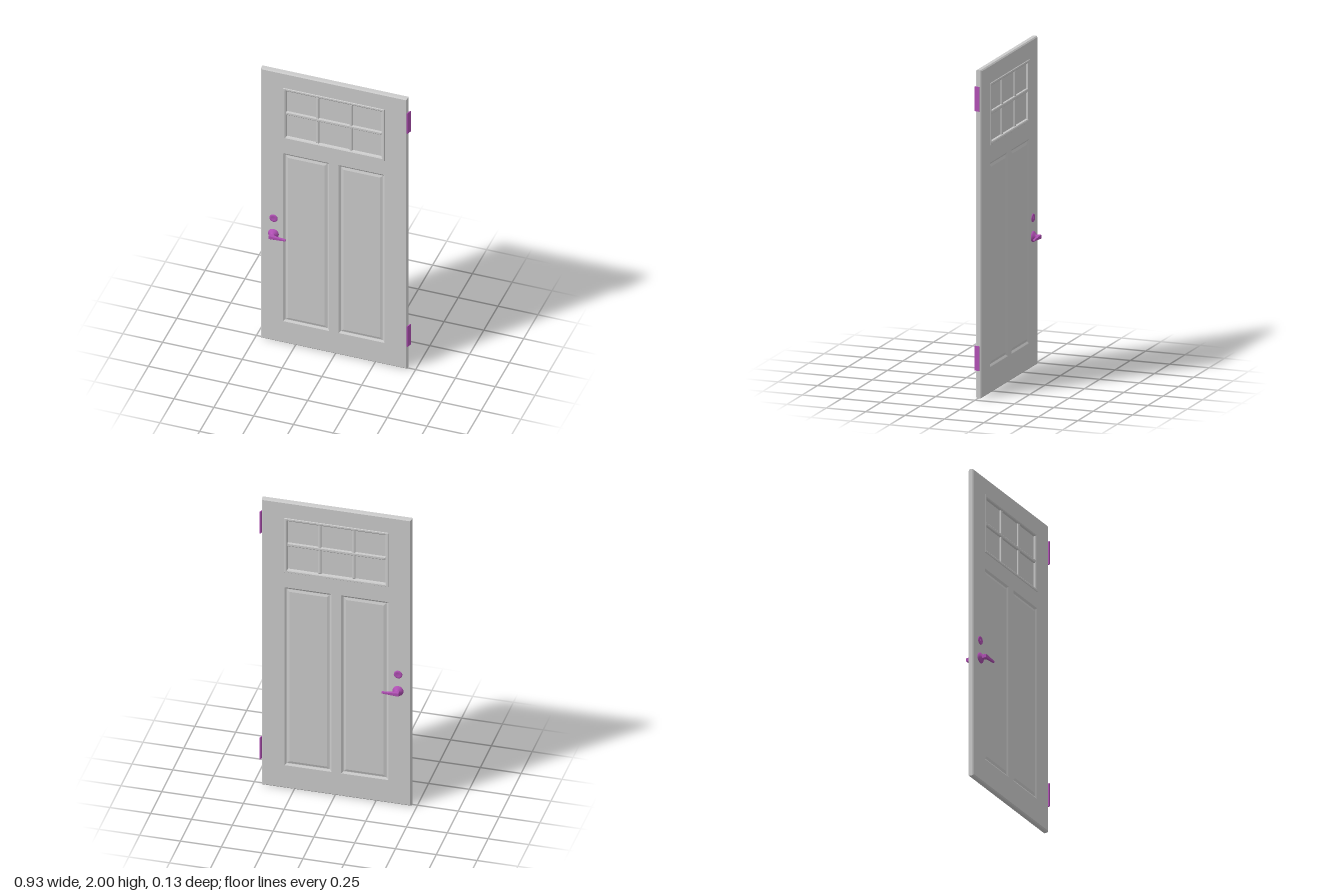
import * as THREE from 'three';

const H = 0.0185; // half thickness of the slab
const grey = new THREE.MeshStandardMaterial({ color: 0xcccccc });
const purple = new THREE.MeshStandardMaterial({ color: 0xb050b4 });

const WINDOW = { x0: -0.32, x1: 0.32, y0: 1.51, y1: 1.89 };
const PANELS = [
  { x0: -0.319, x1: -0.029, y0: 0.16, y1: 1.405 },
  { x0: 0.029, x1: 0.319, y0: 0.16, y1: 1.405 },
];
const SLAB = { x0: -0.459, x1: 0.459, y0: 0, y1: 2 };

function mesh(name, geometry, material) {
  const m = new THREE.Mesh(geometry, material);
  m.name = name;
  return m;
}

const corners = (r, inset) => [
  [r.x0 + inset, r.y0 + inset], [r.x1 - inset, r.y0 + inset],
  [r.x1 - inset, r.y1 - inset], [r.x0 + inset, r.y1 - inset],
];

// Joins rectangular rings given as [inset, z]; optionally closes the last one.
function ringLoft(rect, profile, cap) {
  const rings = profile.map(([inset, z]) => corners(rect, inset).map(([x, y]) => [x, y, z]));
  const pos = [];
  const quad = (a, b, c, d) => pos.push(...a, ...b, ...c, ...a, ...c, ...d);
  for (let k = 0; k + 1 < rings.length; k++) {
    for (let i = 0; i < 4; i++) {
      const j = (i + 1) % 4;
      quad(rings[k][i], rings[k][j], rings[k + 1][j], rings[k + 1][i]);
    }
  }
  if (cap) quad(...rings[rings.length - 1]);
  const g = new THREE.BufferGeometry();
  g.setAttribute('position', new THREE.Float32BufferAttribute(pos, 3));
  g.computeVertexNormals();
  return g;
}

// One side of the door: flat surface, sunken panels and window
function doorFace() {
  const face = new THREE.Group();
  face.name = 'doorFace';
  const points = (r, inset) => corners(r, inset).map(([x, y]) => new THREE.Vector2(x, y));
  const shape = new THREE.Shape(points(SLAB, 0.007));
  for (const r of [WINDOW, ...PANELS]) shape.holes.push(new THREE.Path(points(r, 0).reverse()));
  face.add(mesh('surface', new THREE.ShapeGeometry(shape).translate(0, 0, H), grey));

  for (const r of PANELS) {
    const profile = [[0, H], [0.003, H - 0.002], [0.012, H - 0.009], [0.015, H - 0.009], [0.03, H - 0.004]];
    face.add(mesh('panel', ringLoft(r, profile, true), grey));
  }

  // Raised window frame with recessed pane
  const frame = [[0, H], [0.003, H + 0.004], [0.013, H + 0.004], [0.019, H], [0.021, 0.005]];
  face.add(mesh('windowFrame', ringLoft(WINDOW, frame, false), grey));
  face.add(mesh('windowPane', ringLoft(WINDOW, [[0.021, 0.005]], true), grey));

  // Glazing bars with chamfered edges
  const bar = (rect, z) => ringLoft(rect, [[0, 0.005], [0, z - 0.003], [0.004, z]], true);
  for (const x of [-0.105, 0.105]) {
    face.add(mesh('verticalBar', bar({ x0: x - 0.01, x1: x + 0.01, y0: 1.53, y1: 1.87 }, 0.016), grey));
  }
  face.add(mesh('horizontalBar', bar({ x0: -0.3, x1: 0.3, y0: 1.694, y1: 1.715 }, H), grey));
  return face;
}

// Turned part with its axis along z
function turned(points, segments = 24) {
  const profile = points.map(([r, z]) => new THREE.Vector2(r, z));
  return new THREE.LatheGeometry(profile, segments).rotateX(Math.PI / 2);
}

// Lever: plan outline extruded upwards, thinned towards the tip
function leverGeometry() {
  const outline = [[-0.014, 0.042], [0.012, 0.042], [0.017, 0.052], [0.089, 0.056], [0.089, 0.066], [-0.014, 0.066]];
  const shape = new THREE.Shape(outline.map(([x, z]) => new THREE.Vector2(x, z)));
  const g = new THREE.ExtrudeGeometry(shape, {
    depth: 0.02, bevelThickness: 0.002, bevelSize: 0.001, bevelSegments: 1,
  });
  g.translate(0, 0, -0.01).rotateX(Math.PI / 2);
  const p = g.attributes.position;
  for (let i = 0; i < p.count; i++) {
    const t = THREE.MathUtils.clamp(p.getX(i) / 0.09, 0, 1);
    p.setY(i, p.getY(i) * (1 - 0.6 * t));
  }
  g.computeVertexNormals();
  return g;
}

function handle() {
  const g = new THREE.Group();
  g.name = 'handle';
  const rose = [[0.033, H - 0.002], [0.033, 0.024], [0.027, 0.028], [0.02, 0.036], [0.013, 0.041], [0.012, 0.05], [0, 0.05]];
  g.add(mesh('rose', turned(rose), purple), mesh('lever', leverGeometry(), purple));
  return g;
}

function deadbolt() {
  const g = new THREE.Group();
  g.name = 'deadbolt';
  g.add(mesh('lockPlate', turned([[0.026, H - 0.002], [0.026, 0.022], [0.022, 0.025], [0.012, 0.025], [0.011, 0.023], [0, 0.023]]), purple));
  const key = mesh('keySlot', new THREE.BoxGeometry(0.004, 0.014, 0.003), purple);
  key.position.z = 0.024;
  g.add(key);
  return g;
}

export function createModel() {
  const door = new THREE.Group();
  door.name = 'door';
  const slab = new THREE.Group();
  slab.name = 'slab';
  slab.position.set(-0.0085, 0, -0.0035);
  door.add(slab);

  // Chamfered rim
  const c = 0.007;
  slab.add(mesh('rim', ringLoft(SLAB, [[c, -H], [0, -H + c], [0, H - c], [c, H]], false), grey));
  const back = doorFace();
  back.rotation.y = Math.PI;
  slab.add(doorFace(), back);

  // Handle and lock on both sides
  for (const turn of [0, Math.PI]) {
    for (const [part, y] of [[handle(), 0.796], [deadbolt(), 0.91]]) {
      part.position.set(-0.387, y, -0.0035);
      part.rotation.x = turn;
      door.add(part);
    }
  }

  // Slightly opened hinge leaves
  for (const y of [0.245, 1.825]) {
    const hinge = mesh('hinge', new THREE.BoxGeometry(0.006, 0.15, 0.033), purple);
    hinge.position.set(0.458, y, 0.003);
    hinge.rotation.y = -0.3;
    door.add(hinge);
  }
  return door;
}
